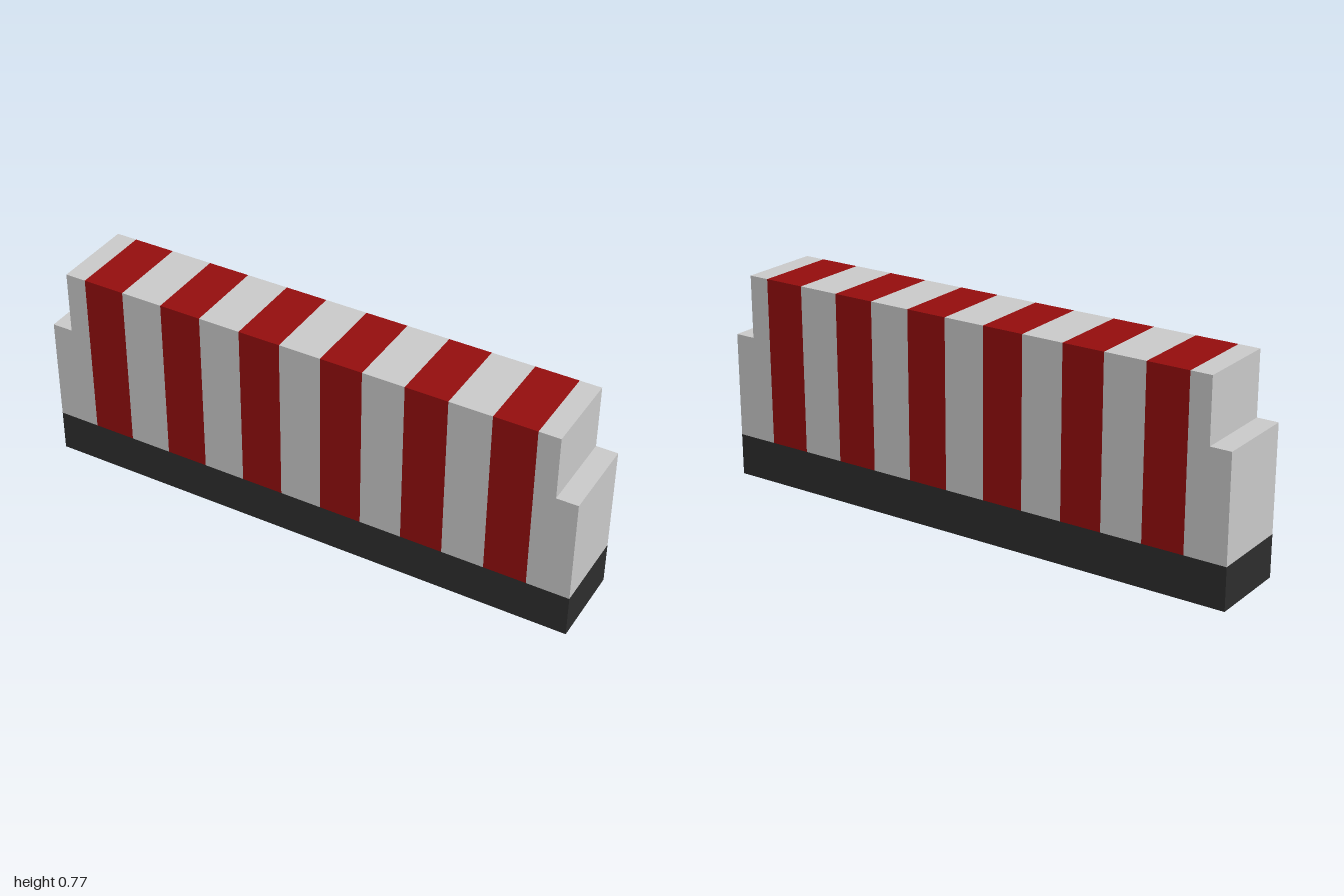
import * as THREE from 'three';

const U = 1 / 13;      // building unit: the barrier is 26 units long
const DEPTH = 4 * U;
const BASE = 2 * U;    // base height
const SHOULDER = 7 * U;
const TOP = 10 * U;

function mat(name, color) {
  const m = new THREE.MeshStandardMaterial({ color });
  m.name = name;
  return m;
}

export function createModel() {
  const grey = mat('light grey', 0xc9c9c9);
  const red = mat('dark red', 0x940d0d);
  const black = mat('charcoal', 0x2d2d2d);

  const barrier = new THREE.Group();
  barrier.name = 'stripedBarrier';

  const add = (name, geometry, material) => {
    const mesh = new THREE.Mesh(geometry, material);
    mesh.name = name;
    barrier.add(mesh);
    return mesh;
  };

  // Dark plinth
  add('base', new THREE.BoxGeometry(2, BASE, DEPTH), black).position.y = BASE / 2;

  // Alternating stripes, red first and last
  const stripe = new THREE.BoxGeometry(2 * U, TOP - BASE, DEPTH);
  for (let i = 0; i < 11; i++) {
    const isRed = i % 2 === 0;
    add(isRed ? 'redStripe' : 'greyStripe', stripe, isRed ? red : grey)
      .position.set((-10 + 2 * i) * U, (TOP + BASE) / 2, 0);
  }

  // Stepped end blocks, mirrored by a half turn
  const step = new THREE.Shape([
    [11, BASE], [13, BASE], [13, SHOULDER], [12, SHOULDER], [12, TOP], [11, TOP],
  ].map(([x, y]) => new THREE.Vector2(x * U, y)));
  const end = new THREE.ExtrudeGeometry(step, { depth: DEPTH, bevelEnabled: false });
  end.translate(0, 0, -DEPTH / 2);
  add('leftEnd', end, grey);
  add('rightEnd', end, grey).rotation.y = Math.PI;

  return barrier;
}
